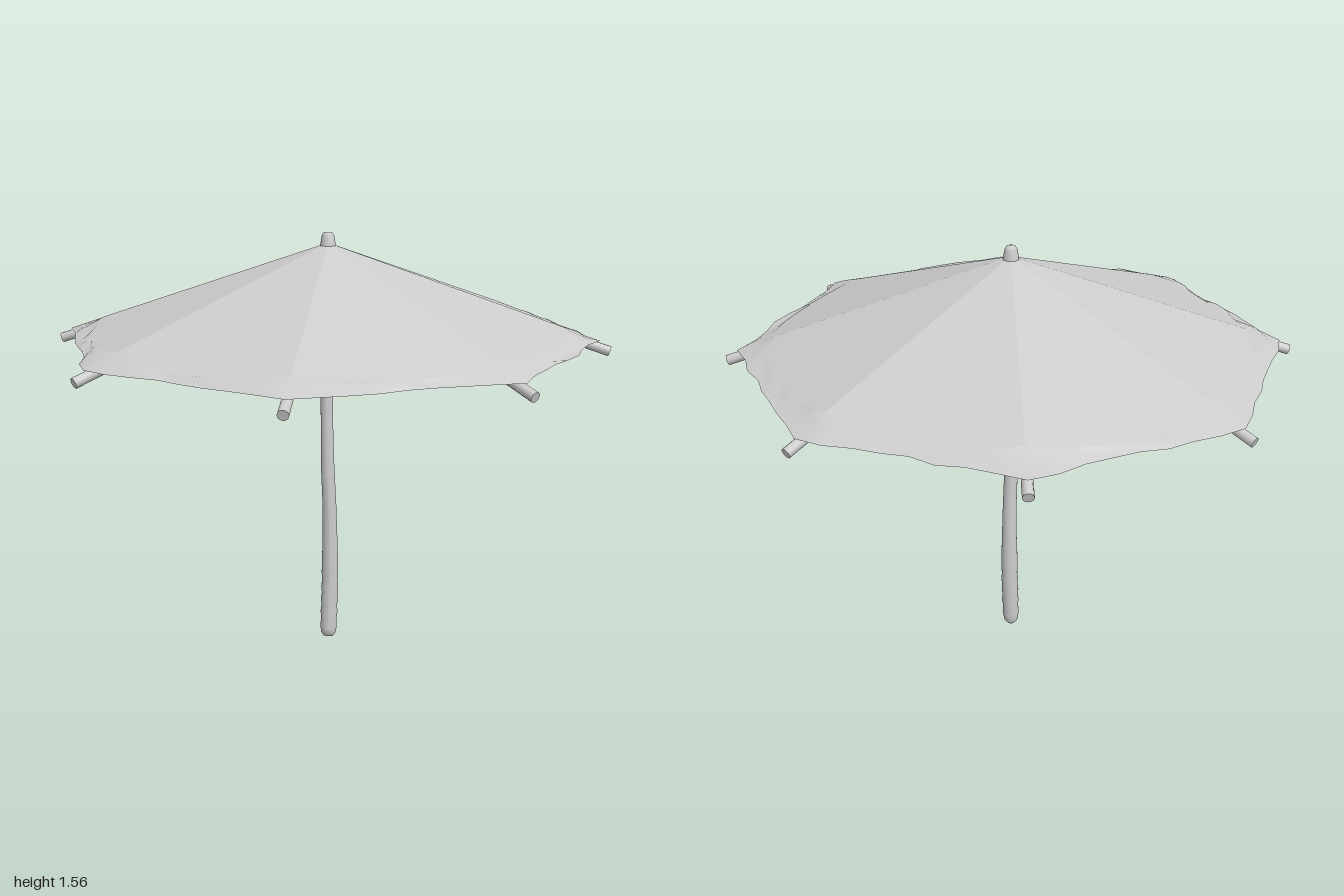
import * as THREE from 'three';
import { toCreasedNormals } from 'three/addons/utils/BufferGeometryUtils.js';

const SEG = 64, PANEL = Math.PI / 4;

// small seeded random generator for the wrinkles
function seeded(seed) {
  return () => {
    seed = (seed * 16807) % 2147483647;
    return seed / 2147483647 - 0.5;
  };
}

// angle measured from the middle of the panel that holds a
const fromMid = a => a - (Math.floor(a / PANEL + 1e-6) + 0.5) * PANEL;
// height of the eight flat panels
const panelY = (r, a) => 1.525 - 0.338 * r * Math.cos(fromMid(a)) / Math.cos(PANEL / 2);
// 1 at a rib, 0 halfway between two ribs
const nearRib = a => Math.abs(fromMid(a)) / (PANEL / 2);

// closed surface of rings; point(row, segment, angle) returns [radius, y]
function rings(rows, point) {
  const pos = [], idx = [];
  for (let j = 0; j < rows; j++) for (let i = 0; i < SEG; i++) {
    const a = i / SEG * Math.PI * 2, [r, y] = point(j, i, a);
    pos.push(Math.cos(a) * r, y, Math.sin(a) * r);
  }
  for (let j = 0; j < rows - 1; j++) for (let i = 0; i < SEG; i++) {
    const k = (i + 1) % SEG, a = j * SEG + i, b = j * SEG + k, c = a + SEG, d = b + SEG;
    idx.push(a, b, c, b, d, c);
  }
  const g = new THREE.BufferGeometry();
  g.setAttribute('position', new THREE.Float32BufferAttribute(pos, 3));
  g.setIndex(idx);
  g.computeVertexNormals();
  return g;
}

export function createModel() {
  const group = new THREE.Group();
  const grey = new THREE.MeshStandardMaterial({ color: 0xcccccc, side: THREE.DoubleSide });
  grey.name = 'plain grey';
  const add = (name, geometry, parent = group) => {
    const m = new THREE.Mesh(geometry, grey);
    m.name = name;
    parent.add(m);
    return m;
  };

  // wrinkled outlines: where the panels fold, and the outer rim
  const rnd = seeded(77);
  const fold = [], rim = [], hemEdge = [], crumple = [];
  for (let i = 0; i < SEG; i++) {
    const n = nearRib(i / SEG * Math.PI * 2);
    const chord = 0.955 * Math.cos(PANEL / 2) / Math.cos(fromMid(i / SEG * Math.PI * 2));
    fold.push(0.835 + 0.012 * rnd());
    rim.push(chord + (n > 0.95 ? 0 : 0.028 * rnd()));
    hemEdge.push(chord - 0.05 - (n > 0.7 ? 0.12 : 0.01) - 0.03 * rnd());
    crumple.push(rnd());
  }

  // flat canopy panels
  add('canopyPanels', toCreasedNormals(rings(3, (j, i, a) => {
    const r = [0.001, 0.42, fold[i]][j];
    return [r, panelY(r, a)];
  }), 0.05));

  // crumpled flounce from the fold out to the rim
  add('flounce', toCreasedNormals(rings(4, (j, i, a) => {
    const t = j / 3, y0 = panelY(fold[i], a);
    const bump = Math.sin(t * Math.PI);
    return [
      THREE.MathUtils.lerp(fold[i], rim[i], t) + bump * 0.02 * crumple[i],
      THREE.MathUtils.lerp(y0, 1.2, t) + bump * 0.016 * crumple[(i + 3) % SEG],
    ];
  }), 0.7));

  // hem folded inwards, with deeper flaps at the ribs
  add('hem', toCreasedNormals(rings(2, (j, i, a) => j
    ? [hemEdge[i], 1.207 + 0.008 * crumple[i]]
    : [rim[i], 1.2]), 0.6));

  // smooth underside, sagging to the top of the shaft
  add('lining', rings(12, (j, i, a) => {
    const r = 0.84 - (0.84 - 0.002) * j / 11;
    const sag = 1.195 + 0.17 * THREE.MathUtils.smoothstep(r, 0.03, 0.55);
    return [r, Math.min(panelY(r, a) - 0.008, sag)];
  }));

  // eight ribs reaching past the rim
  const inner = new THREE.Vector3(0.42, 1.346, 0), tip = new THREE.Vector3(0.99, 1.164, 0);
  const ribDir = tip.clone().sub(inner);
  const ribGeo = new THREE.CylinderGeometry(0.018, 0.015, ribDir.length(), 10);
  const ribs = new THREE.Group();
  ribs.name = 'ribs';
  group.add(ribs);
  for (let k = 0; k < 8; k++) {
    const arm = new THREE.Group();
    arm.rotation.y = k * PANEL;
    const m = add('rib', ribGeo, arm);
    m.position.copy(inner).add(tip).multiplyScalar(0.5);
    m.quaternion.setFromUnitVectors(new THREE.Vector3(0, 1, 0), ribDir.clone().normalize());
    ribs.add(arm);
  }

  // gently bent shaft with a ridged grip and a swollen top
  const profile = [[0, 0.005], [0.018, 0.008], [0.028, 0.022], [0.032, 0.05], [0.03, 0.09], [0.033, 0.11],
    [0.03, 0.14], [0.033, 0.16], [0.03, 0.19], [0.033, 0.21], [0.03, 0.24], [0.032, 0.27], [0.031, 0.32],
    [0.028, 0.42], [0.026, 0.55], [0.025, 0.7], [0.023, 0.82], [0.023, 0.95], [0.024, 1.09],
    [0.031, 1.13], [0.032, 1.17], [0.027, 1.195], [0, 1.21]];
  const shaft = new THREE.LatheGeometry(profile.map(p => new THREE.Vector2(...p)), 20);
  const bend = new THREE.CatmullRomCurve3([[0, 0, -0.004], [0.006, 0.28, -0.009], [0.006, 0.5, -0.004],
    [-0.002, 0.82, 0.006], [-0.004, 1, 0.001], [0, 1.25, 0]].map(p => new THREE.Vector3(...p)));
  const p = shaft.attributes.position;
  for (let i = 0; i < p.count; i++) {
    const c = bend.getPoint(Math.min(1, p.getY(i) / 1.25));
    // slanted foot
    const slant = p.getY(i) < 0.04 ? p.getZ(i) * 0.35 : 0;
    p.setXYZ(i, p.getX(i) + c.x, Math.max(0, p.getY(i) + slant), p.getZ(i) + c.z);
  }
  shaft.computeVertexNormals();
  add('shaft', shaft);

  // rounded cap at the peak
  add('finial', new THREE.LatheGeometry([[0.029, 1.495], [0.028, 1.515], [0.022, 1.55], [0.016, 1.56], [0, 1.562]]
    .map(q => new THREE.Vector2(...q)), 16));

  return group;
}
